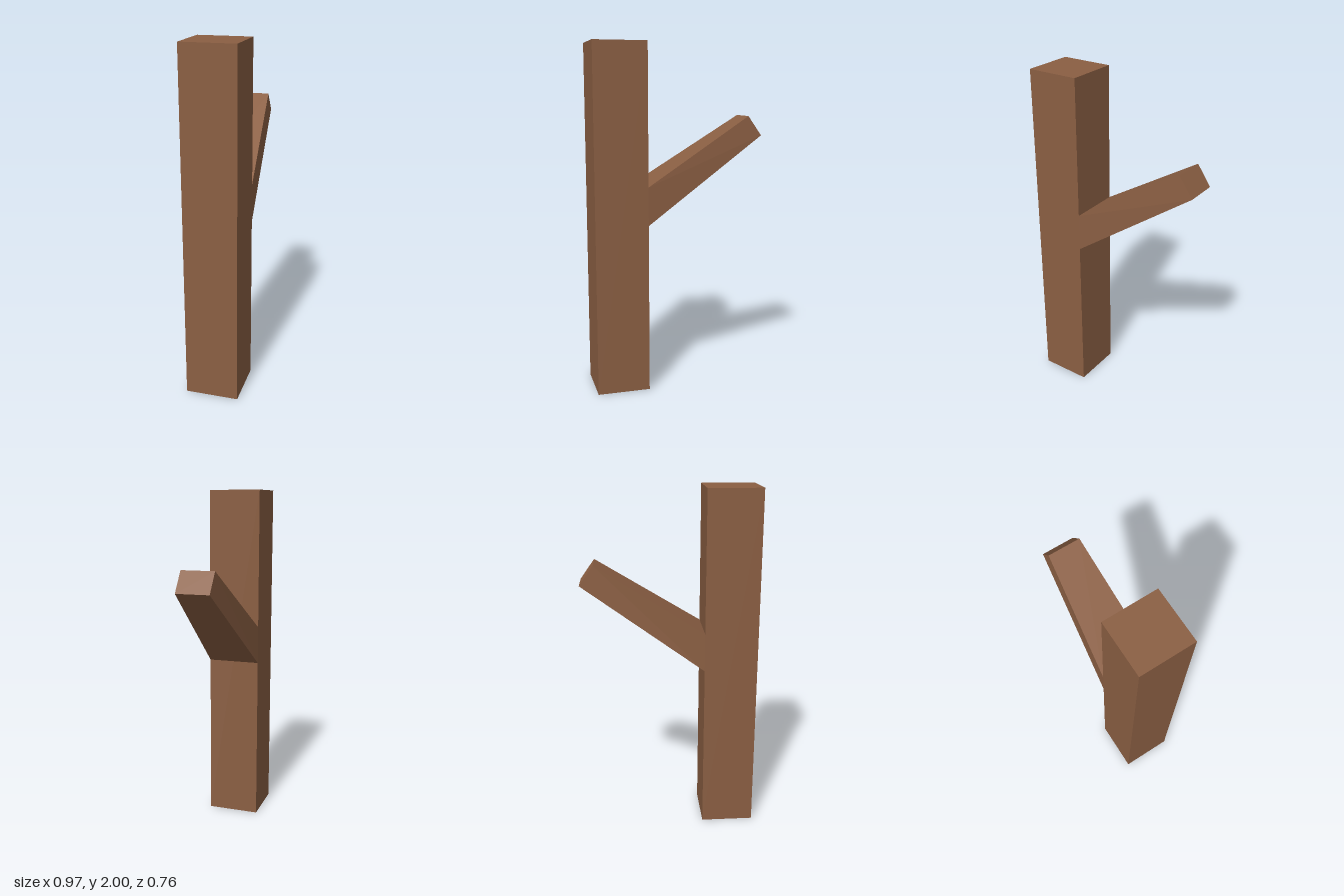
import * as THREE from 'three';

const bark = new THREE.MeshStandardMaterial({ color: 0x8b5f43, flatShading: true });

// Solid between two four-cornered rings, each counter-clockwise seen from the end ring's side
function loft(name, start, end) {
  const positions = [];
  const quad = (a, b, c, d) => [a, b, c, a, c, d].forEach((p) => positions.push(...p));
  for (let i = 0; i < 4; i++) {
    const j = (i + 1) % 4;
    quad(start[i], start[j], end[j], end[i]);
  }
  quad(...end);
  quad(...[...start].reverse());
  const geometry = new THREE.BufferGeometry();
  geometry.setAttribute('position', new THREE.Float32BufferAttribute(positions, 3));
  geometry.computeVertexNormals();
  const mesh = new THREE.Mesh(geometry, bark);
  mesh.name = name;
  return mesh;
}

export function createModel() {
  const model = new THREE.Group();
  model.name = 'branchedTrunk';

  // Square trunk, turned about its upright axis
  const corners = [[-0.485, 0.13], [-0.315, 0.382], [-0.063, 0.212], [-0.233, -0.04]];
  const ring = (y) => corners.map(([x, z]) => [x, y, z]);
  model.add(loft('trunk', ring(0), ring(2)));

  // Tapering branch growing from one full face of the trunk
  const [, , [fx, fz], [bx, bz]] = corners;
  const base = [[fx, 0.98, fz], [bx, 0.98, bz], [bx, 1.2, bz], [fx, 1.2, fz]];
  const tip = [[0.48, 1.475, -0.225], [0.375, 1.475, -0.382], [0.308, 1.588, -0.338], [0.413, 1.588, -0.18]];
  model.add(loft('branch', base, tip));

  return model;
}
